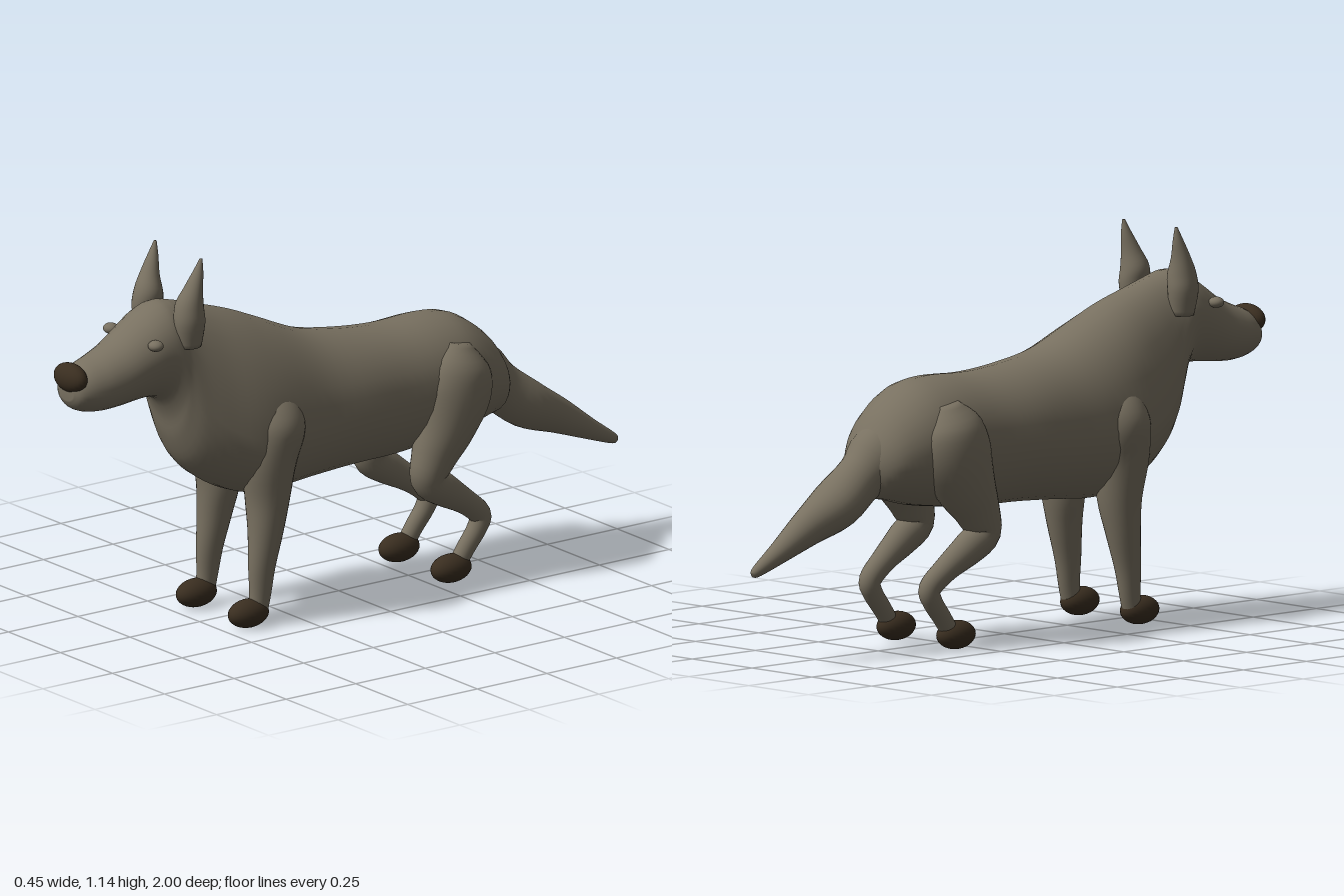
import * as THREE from 'three';

const fur = new THREE.MeshStandardMaterial({ color: 0x787060 });
fur.name = 'greyFur';
const dark = new THREE.MeshStandardMaterial({ color: 0x3a2e20 });
dark.name = 'darkBrown';

const SIDES = 28;

// Smoothly interpolates a list of number rows
function refine(rows, steps) {
  const at = (i) => rows[Math.max(0, Math.min(rows.length - 1, i))];
  const out = [];
  for (let i = 0; i < rows.length - 1; i++) {
    for (let k = 0; k < steps; k++) {
      const t = k / steps;
      out.push(rows[i].map((b, c) => {
        const a = at(i - 1)[c], d = at(i + 1)[c], e = at(i + 2)[c];
        return b + 0.5 * t * (d - a + t * (2 * a - 5 * b + 4 * d - e + t * (3 * (b - d) + e - a)));
      }));
    }
  }
  out.push(rows[rows.length - 1]);
  return out;
}

// Closed smooth skin over rings of points that wind around the travel direction
function skin(rings) {
  const pos = rings.flat(2);
  const index = [];
  const n = rings.length;
  for (let i = 0; i < n - 1; i++) {
    for (let j = 0; j < SIDES; j++) {
      const k = (j + 1) % SIDES;
      const a = i * SIDES + j, b = i * SIDES + k;
      index.push(a, b, b + SIDES, a, b + SIDES, a + SIDES);
    }
  }
  [0, n - 1].forEach((r, end) => {
    const mid = [0, 1, 2].map((c) => rings[r].reduce((s, p) => s + p[c], 0) / SIDES);
    const m = pos.length / 3;
    pos.push(...mid);
    for (let j = 0; j < SIDES; j++) {
      const a = r * SIDES + j, b = r * SIDES + (j + 1) % SIDES;
      if (end) index.push(m, a, b);
      else index.push(m, b, a);
    }
  });
  const g = new THREE.BufferGeometry();
  g.setAttribute('position', new THREE.Float32BufferAttribute(pos, 3));
  g.setIndex(index);
  g.computeVertexNormals();
  return g;
}

const ring = (fn) => Array.from({ length: SIDES }, (_, j) => {
  const a = (j / SIDES) * Math.PI * 2;
  return fn(Math.cos(a), Math.sin(a));
});

// Limb along rows of [x, y, z, half width in x, half depth]
function limb(rows, side = 1) {
  const p = refine(rows, 4);
  return skin(p.map(([x, y, z, rx, r], i) => {
    const a = p[Math.max(0, i - 1)], b = p[Math.min(p.length - 1, i + 1)];
    const len = Math.hypot(b[1] - a[1], b[2] - a[2]) || 1;
    const vy = (b[2] - a[2]) / len, vz = -(b[1] - a[1]) / len;
    return ring((c, s) => [x * side + c * rx, y + s * r * vy, z + s * r * vz]);
  }));
}

// Torso, neck and head rows: [z, top, bottom, half width, height of widest point]
const BODY = [
  [-0.575, 0.59, 0.48, 0.055, 0.54],
  [-0.54, 0.65, 0.452, 0.1, 0.55],
  [-0.49, 0.71, 0.443, 0.135, 0.57],
  [-0.4, 0.77, 0.42, 0.165, 0.59],
  [-0.3, 0.786, 0.405, 0.175, 0.6],
  [-0.15, 0.782, 0.39, 0.176, 0.59],
  [0, 0.795, 0.388, 0.184, 0.59],
  [0.15, 0.825, 0.38, 0.187, 0.58],
  [0.3, 0.888, 0.37, 0.198, 0.58],
  [0.4, 0.93, 0.385, 0.193, 0.58],
  [0.5, 0.963, 0.435, 0.166, 0.62],
  [0.57, 0.985, 0.495, 0.142, 0.69],
  [0.61, 0.996, 0.575, 0.126, 0.78],
  [0.63, 1.0, 0.65, 0.122, 0.82],
  [0.66, 1.0, 0.705, 0.118, 0.86],
  [0.7, 0.986, 0.722, 0.113, 0.86],
  [0.75, 0.955, 0.722, 0.105, 0.84],
  [0.82, 0.908, 0.715, 0.095, 0.81],
  [0.88, 0.88, 0.713, 0.088, 0.795],
  [0.93, 0.862, 0.72, 0.077, 0.79],
  [0.965, 0.84, 0.736, 0.06, 0.785],
  [0.98, 0.815, 0.76, 0.035, 0.785],
];

const TAIL = [
  [0, 0.59, -0.42, 0.1, 0.1],
  [0, 0.56, -0.5, 0.095, 0.1],
  [0, 0.515, -0.57, 0.071, 0.075],
  [0, 0.445, -0.67, 0.079, 0.072],
  [0, 0.39, -0.78, 0.053, 0.054],
  [0, 0.33, -0.89, 0.033, 0.033],
  [0, 0.283, -0.98, 0.017, 0.017],
  [0, 0.273, -0.998, 0.006, 0.008],
];

const FRONT_LEG = [
  [0.11, 0.72, 0.33, 0.035, 0.03],
  [0.122, 0.67, 0.33, 0.074, 0.07],
  [0.135, 0.6, 0.33, 0.09, 0.088],
  [0.13, 0.5, 0.345, 0.078, 0.08],
  [0.118, 0.38, 0.345, 0.067, 0.065],
  [0.122, 0.28, 0.355, 0.05, 0.053],
  [0.125, 0.18, 0.37, 0.036, 0.042],
  [0.127, 0.1, 0.377, 0.028, 0.034],
  [0.127, 0.05, 0.385, 0.026, 0.03],
];

const HIND_LEG = [
  [0.11, 0.72, -0.34, 0.04, 0.04],
  [0.12, 0.66, -0.33, 0.085, 0.1],
  [0.126, 0.58, -0.32, 0.094, 0.118],
  [0.13, 0.48, -0.28, 0.084, 0.095],
  [0.138, 0.4, -0.238, 0.062, 0.07],
  [0.14, 0.335, -0.218, 0.05, 0.054],
  [0.138, 0.295, -0.27, 0.045, 0.05],
  [0.13, 0.24, -0.355, 0.036, 0.037],
  [0.125, 0.19, -0.413, 0.031, 0.034],
  [0.125, 0.15, -0.403, 0.028, 0.03],
  [0.125, 0.1, -0.365, 0.026, 0.028],
  [0.125, 0.05, -0.33, 0.025, 0.027],
];

const EAR = [
  [0.098, 0.88, 0.61, 0.034, 0.036],
  [0.102, 0.95, 0.612, 0.042, 0.047],
  [0.098, 1.0, 0.61, 0.043, 0.042],
  [0.104, 1.05, 0.6, 0.03, 0.027],
  [0.108, 1.1, 0.586, 0.016, 0.015],
  [0.11, 1.14, 0.577, 0.004, 0.004],
];

export function createModel() {
  const model = new THREE.Group();
  model.name = 'dog';
  const add = (name, geometry, material) => {
    const mesh = new THREE.Mesh(geometry, material);
    mesh.name = name;
    model.add(mesh);
    return mesh;
  };
  const blob = (name, material, p, r) => {
    const mesh = add(name, new THREE.SphereGeometry(1, 24, 16), material);
    mesh.position.set(...p);
    mesh.scale.set(...r);
  };

  // Torso flowing into neck, head and muzzle
  add('body', skin(refine(BODY, 4).map(([z, top, bottom, w, mid]) =>
    ring((c, s) => [c * w, mid + s * (s > 0 ? top - mid : mid - bottom), z]))), fur);
  add('tail', limb(TAIL), fur);
  blob('nose', dark, [0, 0.826, 0.963], [0.067, 0.043, 0.035]);

  // Paired parts
  for (const [side, label] of [[1, 'left'], [-1, 'right']]) {
    add(label + 'FrontLeg', limb(FRONT_LEG, side), fur);
    add(label + 'HindLeg', limb(HIND_LEG, side), fur);
    add(label + 'Ear', limb(EAR, side), fur);
    blob(label + 'Eye', fur, [side * 0.108, 0.906, 0.738], [0.024, 0.016, 0.022]);
    blob(label + 'FrontPaw', dark, [side * 0.125, 0.046, 0.418], [0.043, 0.042, 0.067]);
    blob(label + 'HindPaw', dark, [side * 0.125, 0.046, -0.31], [0.043, 0.042, 0.067]);
  }
  return model;
}
